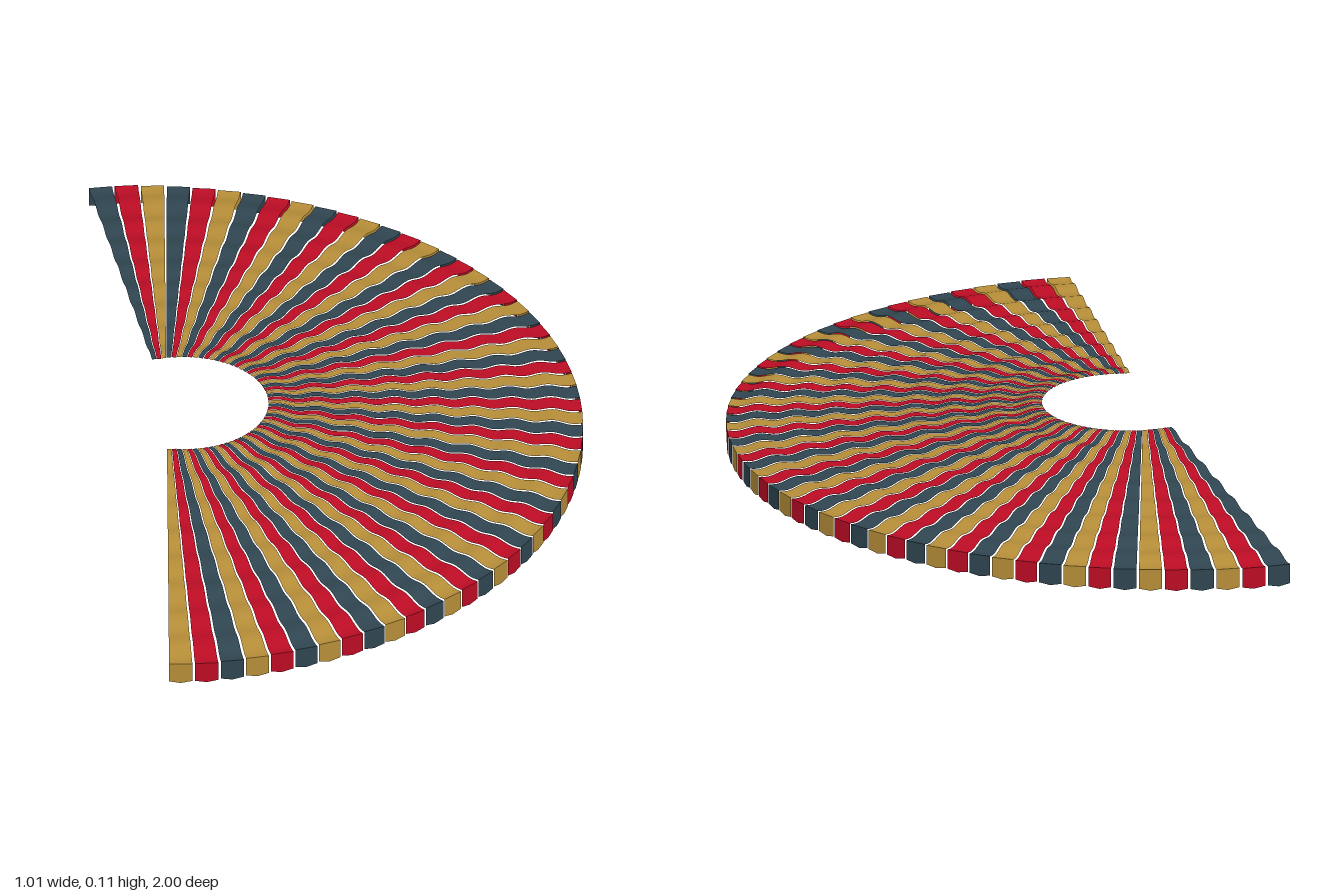
import * as THREE from 'three';

const COUNT = 57;                      // striped panels round the fan
const STEP = Math.PI / (COUNT - 3);    // one panel overhangs the half circle at each end
const CENTRE_X = -0.427;
const FILL = 0.9;                      // panel width as a share of its sector
const RIPPLES = 8;
const EAVE = 0.05;                     // height of the outer edge

const materials = [0xb58d38, 0xbb0c24, 0x2f4550].map(
  (color) => new THREE.MeshStandardMaterial({ color, side: THREE.DoubleSide })
);

// Sheet built from rows of points, each row running across the panel
function sheet(rows) {
  const cols = rows[0].length;
  const index = [];
  for (let r = 0; r < rows.length - 1; r++) {
    for (let c = 0; c < cols - 1; c++) {
      const a = r * cols + c, b = a + cols;
      index.push(a, b, a + 1, a + 1, b, b + 1);
    }
  }
  const geometry = new THREE.BufferGeometry().setFromPoints(rows.flat());
  geometry.setIndex(index);
  geometry.computeVertexNormals();
  return geometry;
}

function createPanel(i) {
  const angle = (i - 1) * STEP;
  const s = Math.sin(angle), c = Math.cos(angle);
  const bulge = Math.max(s, 0);
  const inner = 0.188 + 0.039 * bulge;
  const outer = 0.999 - 0.072 * bulge;

  // Point at radius r, side -1..1 across the panel, height y
  const point = (r, side, y) => {
    const w = side * r * STEP * 0.5 * FILL;
    return new THREE.Vector3(CENTRE_X + r * s + w * c, y, r * c - w * s);
  };
  const row = (r, y, dip = 0) =>
    [-1, 0, 1].map((side) => point(r, side, y - (side === 0 ? dip : 0)));

  // Rippled slope from the inner ring down to the eave
  const slope = [];
  const segments = RIPPLES * 8;
  for (let k = 0; k <= segments; k++) {
    const t = k / segments;
    const y = THREE.MathUtils.lerp(0.104, EAVE, t)
      + 0.0035 * Math.sin(t * RIPPLES * Math.PI * 2);
    slope.push(row(THREE.MathUtils.lerp(inner, outer, t), y));
  }

  const panel = new THREE.Group();
  panel.name = 'panel';
  const material = materials[i % 3];
  const top = new THREE.Mesh(sheet(slope), material);
  top.name = 'rippledStrip';

  // Hanging flap with a shallow pointed lower edge
  const flap = new THREE.Mesh(sheet([row(outer, EAVE), row(outer, 0.005, 0.005)]), material);
  flap.name = 'valance';
  panel.add(top, flap);
  return panel;
}

export function createModel() {
  const awning = new THREE.Group();
  awning.name = 'fanAwning';
  for (let i = 0; i < COUNT; i++) awning.add(createPanel(i));
  return awning;
}
